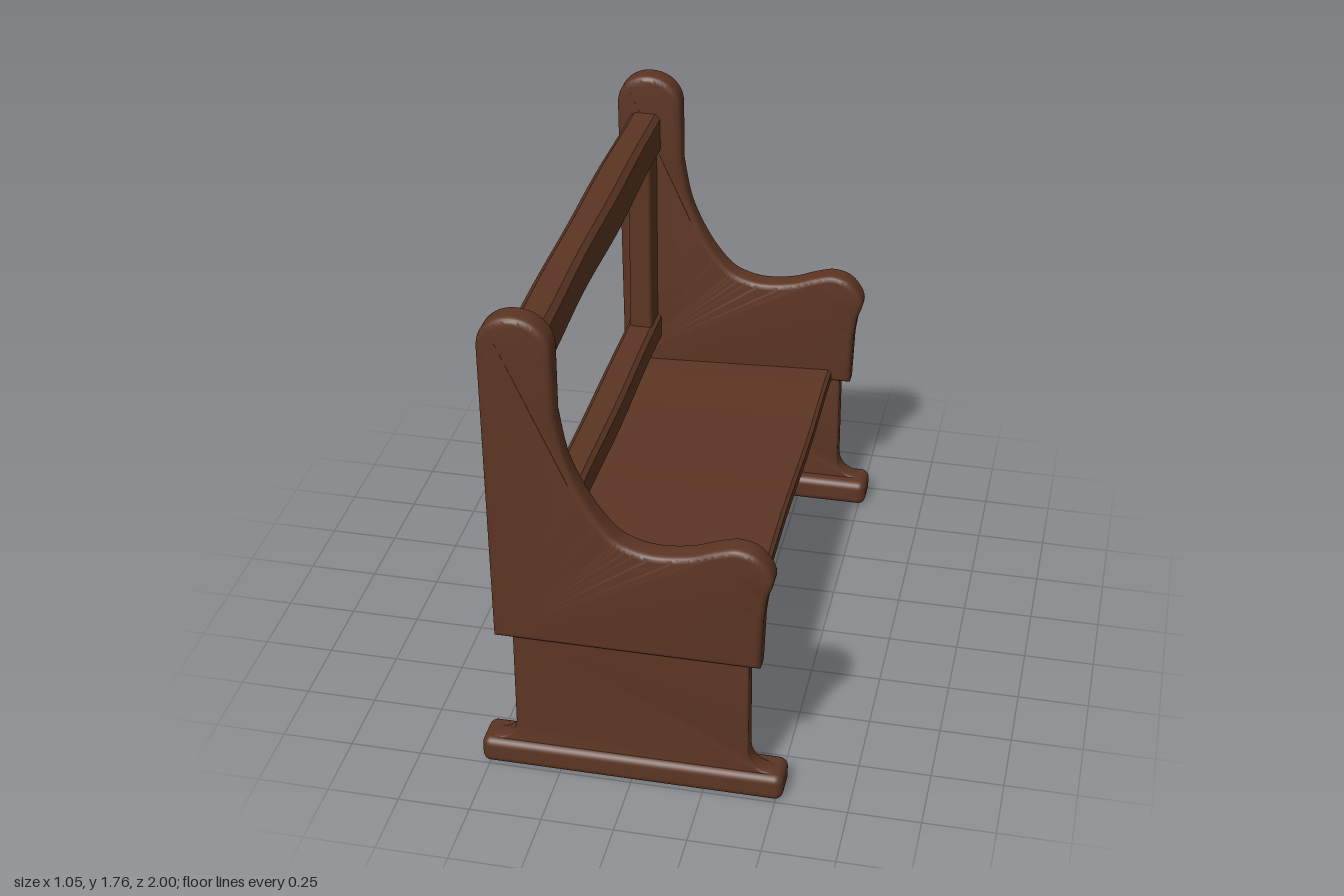
import * as THREE from 'three';
import { toCreasedNormals } from 'three/addons/utils/BufferGeometryUtils.js';
import { RoundedBoxGeometry } from 'three/addons/geometries/RoundedBoxGeometry.js';

const wood = new THREE.MeshStandardMaterial({ color: 0x5c3523 });
wood.name = 'dark brown wood';

function part(name, geometry) {
  const mesh = new THREE.Mesh(geometry, wood);
  mesh.name = name;
  return mesh;
}

// Board cut from a side outline, centred on z = 0, with rounded edges
function board(shape, thickness, bevel) {
  const g = new THREE.ExtrudeGeometry(shape, {
    depth: thickness - 2 * bevel, bevelThickness: bevel, bevelSize: bevel,
    bevelOffset: -bevel, bevelSegments: 4, curveSegments: 20,
  });
  g.translate(0, 0, -thickness / 2 + bevel);
  return g;
}

// Hand-hewn plank running along z, with worn corners and a slight waviness
function plank(x0, x1, y0, y1, length, wave, chamfer = 0.012) {
  const c = chamfer;
  const s = new THREE.Shape([
    [x0 + c, y0], [x1 - c, y0], [x1, y0 + c], [x1, y1 - c],
    [x1 - c, y1], [x0 + c, y1], [x0, y1 - c], [x0, y0 + c],
  ].map(([x, y]) => new THREE.Vector2(x, y)));
  const g = new THREE.ExtrudeGeometry(s, { depth: length, steps: 28, bevelEnabled: false });
  g.translate(0, 0, -length / 2);
  const p = g.attributes.position;
  for (let i = 0; i < p.count; i++) {
    const x = p.getX(i), y = p.getY(i), z = p.getZ(i);
    p.setY(i, y + wave * Math.sin(z * 5 + y * 9));
    p.setX(i, x + wave * 0.6 * Math.sin(z * 7 + x * 11));
  }
  return toCreasedNormals(g, 0.6);
}

// Tall back post sweeping down into a scrolled armrest
function sidePanel() {
  const s = new THREE.Shape();
  s.moveTo(0.44, 0.54);
  s.lineTo(0.447, 0.74);
  s.splineThru([
    [0.458, 0.82], [0.477, 0.90], [0.43, 0.975], [0.36, 1.0], [0.29, 0.985], [0.2, 0.953],
    [0.1, 0.94], [0.02, 0.952], [-0.05, 0.99], [-0.13, 1.095], [-0.2, 1.25], [-0.235, 1.42],
  ].map(([x, y]) => new THREE.Vector2(x, y)));
  s.lineTo(-0.237, 1.65);
  s.bezierCurveTo(-0.24, 1.72, -0.295, 1.765, -0.36, 1.765);
  s.bezierCurveTo(-0.425, 1.765, -0.478, 1.72, -0.48, 1.65);
  s.lineTo(-0.467, 0.54);
  s.closePath();
  const g = board(s, 0.095, 0.022);
  // Slimmer around the middle of the post
  const p = g.attributes.position;
  for (let i = 0; i < p.count; i++) {
    const waist = Math.exp(-(((p.getY(i) - 1.28) / 0.15) ** 2));
    p.setZ(i, p.getZ(i) * (1 - 0.2 * waist));
  }
  return toCreasedNormals(g, 0.6);
}

// Leg board flaring out onto the foot
function legBoard() {
  const s = new THREE.Shape();
  s.moveTo(-0.49, 0.06);
  s.lineTo(0.49, 0.06);
  s.lineTo(0.49, 0.1);
  s.bezierCurveTo(0.43, 0.105, 0.402, 0.14, 0.402, 0.19);
  s.lineTo(0.4, 0.58);
  s.lineTo(-0.405, 0.58);
  s.lineTo(-0.405, 0.19);
  s.bezierCurveTo(-0.405, 0.14, -0.43, 0.105, -0.49, 0.1);
  s.closePath();
  return toCreasedNormals(board(s, 0.07, 0.01), 0.6);
}

export function createModel() {
  const bench = new THREE.Group();
  bench.name = 'bench';

  // Two matching ends
  for (const side of [1, -1]) {
    const end = new THREE.Group();
    end.name = side > 0 ? 'leftEnd' : 'rightEnd';
    const panel = part('sidePanel', sidePanel());
    panel.position.z = 0.947 * side;
    const leg = part('legBoard', legBoard());
    leg.position.z = 0.943 * side;
    const foot = part('foot', new RoundedBoxGeometry(1.052, 0.1, 0.14, 4, 0.03));
    foot.position.set(-0.002, 0.05, 0.93 * side);
    end.add(panel, leg, foot);
    bench.add(end);

    // Upright of the back frame
    const stile = part('backStile', new RoundedBoxGeometry(0.085, 0.9, 0.13, 2, 0.012));
    stile.position.set(-0.37, 1.1, 0.845 * side);
    bench.add(stile);
  }

  // Back rails
  bench.add(part('topRail', plank(-0.435, -0.315, 1.452, 1.622, 1.84, 0.005, 0.02)));
  bench.add(part('bottomRail', plank(-0.43, -0.315, 0.65, 0.768, 1.84, 0.003, 0.016)));

  // Seat, tipped slightly towards the back
  const seat = part('seat', plank(-0.4, 0.4, -0.028, 0.028, 1.84, 0.003));
  seat.position.set(-0.03, 0.545, 0);
  seat.rotation.z = 0.045;
  bench.add(seat);

  return bench;
}
